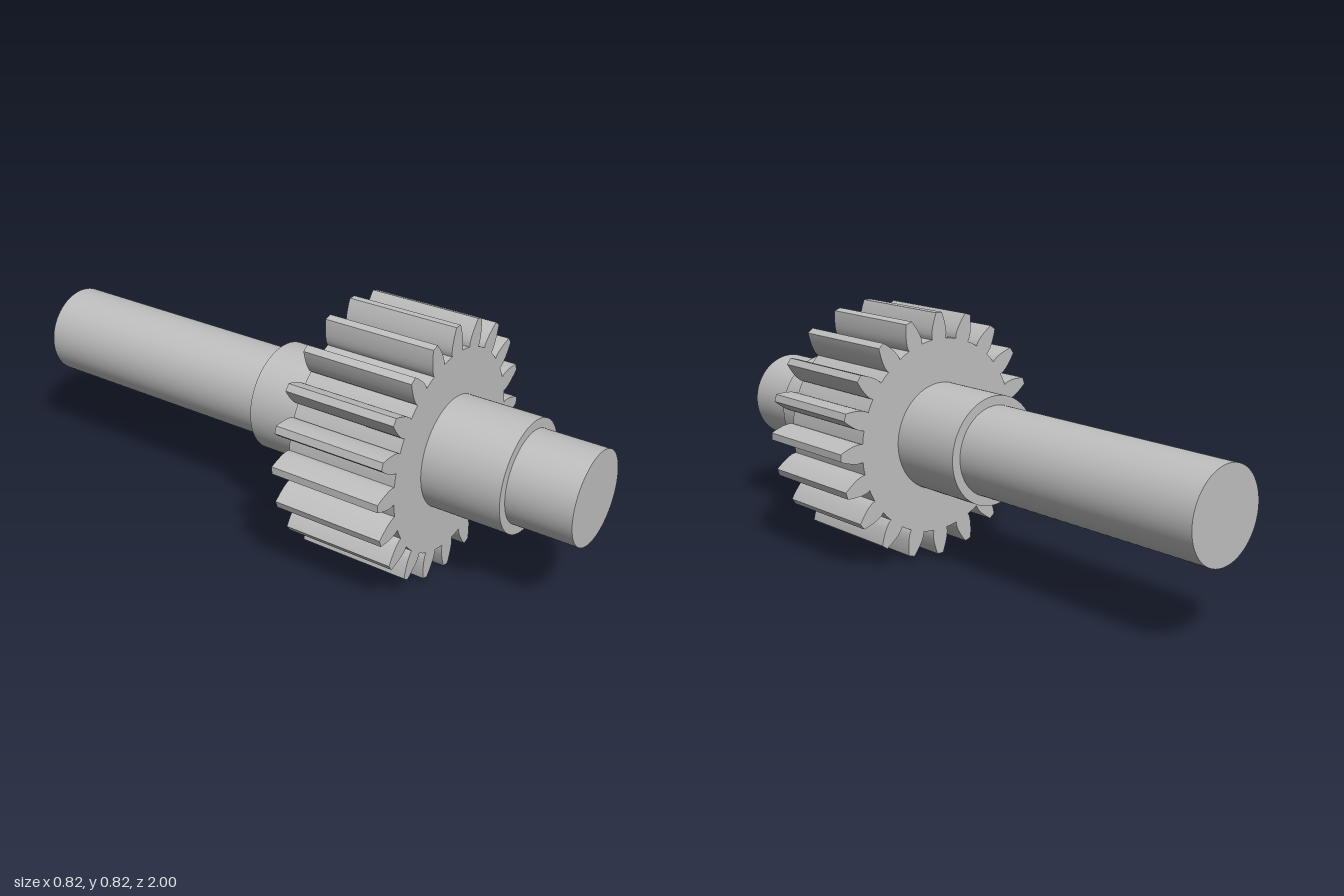
import * as THREE from 'three';
import { toCreasedNormals } from 'three/addons/utils/BufferGeometryUtils.js';

const AXIS_Y = 0.411;
const TEETH = 20;

// Half tooth flank, root to tip: [radial distance, half width]
const FLANK = [
  [0.3235, 0.0285], [0.332, 0.031], [0.342, 0.0312], [0.354, 0.03], [0.367, 0.0272],
  [0.379, 0.0238], [0.39, 0.0202], [0.4, 0.0165], [0.4105, 0.012],
];

export function createModel() {
  const steel = new THREE.MeshStandardMaterial({ color: 0xbfbfbf });
  steel.name = 'steel grey';
  const model = new THREE.Group();
  model.name = 'pinionShaft';

  const add = (name, geometry, z) => {
    const mesh = new THREE.Mesh(geometry, steel);
    mesh.name = name;
    mesh.position.set(0, AXIS_Y, z);
    model.add(mesh);
  };

  // Round bar along z
  const bar = (name, radius, z0, z1) => add(
    name,
    new THREE.CylinderGeometry(radius, radius, z1 - z0, 96).rotateX(Math.PI / 2),
    (z0 + z1) / 2,
  );
  bar('shaft', 0.148, -1, 1);
  bar('collar', 0.179, -0.1, 0.79);

  // Gear outline: each tooth runs up one flank and down the other, counter-clockwise
  const tooth = [
    ...FLANK.map(([r, w]) => new THREE.Vector2(r, -w)),
    ...FLANK.map(([r, w]) => new THREE.Vector2(r, w)).reverse(),
  ];
  const outline = [];
  const centre = new THREE.Vector2();
  for (let i = 0; i < TEETH; i++) {
    const angle = (i / TEETH) * Math.PI * 2;
    tooth.forEach((p) => outline.push(p.clone().rotateAround(centre, angle)));
    // Middle of the rounded root between two teeth
    const root = angle + Math.PI / TEETH;
    outline.push(new THREE.Vector2(Math.cos(root), Math.sin(root)).multiplyScalar(0.325));
  }
  const gearShape = new THREE.Shape(outline);
  const bore = new THREE.Path();
  bore.absarc(0, 0, 0.17, 0, Math.PI * 2, true);
  gearShape.holes.push(bore);
  const gear = new THREE.ExtrudeGeometry(gearShape, {
    depth: 0.37, bevelEnabled: false, curveSegments: 32,
  });
  add('gear', toCreasedNormals(gear, 0.45), 0.16);

  return model;
}
